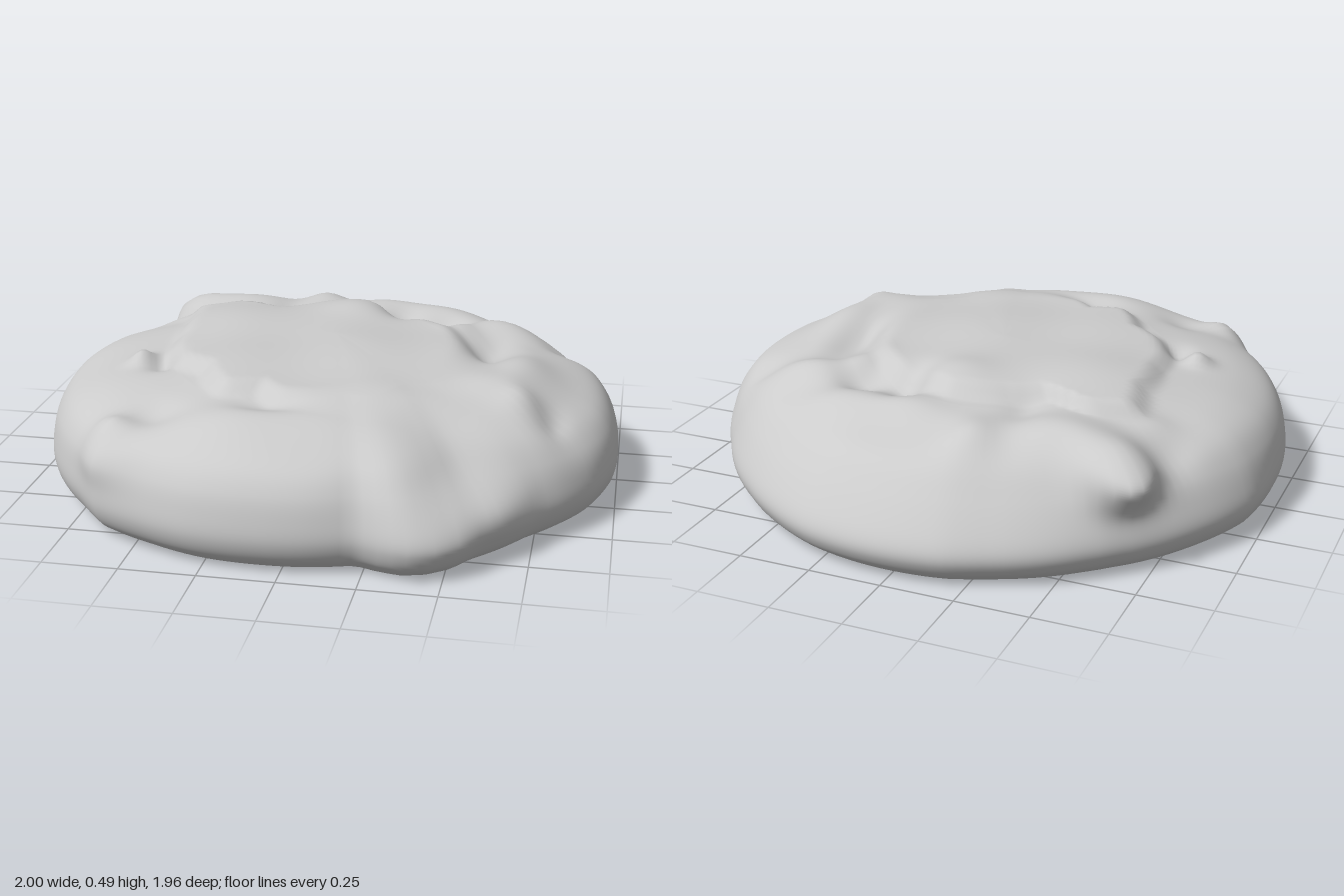
import * as THREE from 'three';
import { mergeVertices } from 'three/addons/utils/BufferGeometryUtils.js';

const { smoothstep, lerp } = THREE.MathUtils;
const bell = (d, width) => Math.exp(-((d / width) ** 2));

// Turns a ring of [x, z] points into a radius-by-angle function
function radial(points) {
  const ring = points
    .map(([x, z]) => ({ a: Math.atan2(z, x), r: Math.hypot(x, z) }))
    .sort((p, q) => p.a - q.a);
  const n = ring.length;
  return (angle) => {
    let i = ring.findIndex((p) => p.a > angle);
    if (i < 0) i = n;
    const p = ring[(i + n - 1) % n], q = ring[i % n];
    const span = (q.a - p.a + 2 * Math.PI) % (2 * Math.PI);
    const t = ((angle - p.a + 2 * Math.PI) % (2 * Math.PI)) / span;
    return lerp(p.r, q.r, t);
  };
}

// Outer rim of the cookie
const rim = radial([
  [1, 0], [0.995, 0.2], [0.93, 0.4], [0.78, 0.6], [0.61, 0.81], [0.56, 0.89],
  [0.48, 0.95], [0.4, 0.97], [0.32, 0.955], [0.24, 0.925], [0.1, 0.965], [-0.08, 0.98],
  [-0.29, 0.96], [-0.48, 0.89], [-0.64, 0.81], [-0.73, 0.7], [-0.86, 0.53],
  [-0.97, 0.25], [-1, 0], [-0.98, -0.24], [-0.87, -0.46], [-0.79, -0.57],
  [-0.68, -0.68], [-0.6, -0.75], [-0.48, -0.84], [-0.32, -0.92], [-0.19, -0.97],
  [0.02, -0.99], [0.29, -0.95], [0.47, -0.86], [0.63, -0.74], [0.85, -0.48], [0.98, -0.24],
]);

// Edge of the raised crust in the middle
const crust = radial([
  [0.33, -0.27], [0.44, -0.1], [0.5, 0.12], [0.46, 0.38], [0.15, 0.56], [-0.08, 0.57],
  [-0.16, 0.49], [-0.28, 0.52], [-0.38, 0.35], [-0.54, 0.22], [-0.56, 0.02],
  [-0.57, -0.18], [-0.6, -0.34], [-0.45, -0.4], [-0.3, -0.34], [-0.18, -0.4], [0, -0.46], [0.13, -0.4],
]);

// Lumps and hollows on top: x, z, width in x, width in z, height
const lumps = [
  [0.02, -0.34, 0.12, 0.11, 0.02], [0.18, -0.4, 0.07, 0.1, -0.045],
  [-0.42, -0.57, 0.16, 0.13, 0.05], [-0.17, -0.67, 0.08, 0.1, 0.035],
  [-0.26, -0.45, 0.06, 0.1, -0.02], [-0.66, -0.6, 0.12, 0.12, 0.035],
  [-0.66, -0.34, 0.1, 0.06, 0.02], [-0.76, -0.44, 0.08, 0.1, -0.035],
  [0.1, -0.57, 0.14, 0.08, 0.03], [0.34, -0.58, 0.16, 0.08, 0.02],
  [0.34, -0.41, 0.1, 0.07, -0.05], [0.58, -0.38, 0.15, 0.09, 0.045],
  [0.4, -0.27, 0.06, 0.08, 0.02], [0.54, -0.08, 0.08, 0.16, -0.05],
  [0.8, -0.33, 0.08, 0.06, -0.025], [0.67, 0.12, 0.12, 0.17, 0.045],
  [0.6, 0.32, 0.13, 0.12, 0.035], [0.69, 0.37, 0.06, 0.06, 0.025],
  [0.79, 0.38, 0.05, 0.07, -0.03], [0.42, 0.5, 0.16, 0.09, 0.015],
  [-0.65, 0.2, 0.045, 0.045, 0.04], [-0.56, 0.24, 0.05, 0.06, -0.03],
  [-0.62, 0.7, 0.08, 0.06, 0.04], [-0.48, 0.64, 0.09, 0.08, -0.025],
  [-0.25, 0.72, 0.2, 0.12, 0.02], [0.05, 0.68, 0.2, 0.12, 0.02],
  [-0.3, -0.15, 0.25, 0.2, 0.015], [-0.12, 0.6, 0.1, 0.06, -0.02],
];

function topRelief(x, z) {
  const angle = Math.atan2(z, x);
  const edge = crust(angle) - Math.hypot(x, z);
  // The crust melts into the body towards the front left corner
  const width = lerp(0.04, 0.16, bell(angle - 0.8, 0.7));
  let h = 0.04 * smoothstep(edge, -width, width);
  for (const [cx, cz, wx, wz, height] of lumps) h += height * bell(x - cx, wx) * bell(z - cz, wz);
  return h + 0.007 * Math.sin(9 * x + 4 * z) * Math.sin(8 * z - 5 * x + 1);
}

// Lobes and dents around the side: angle, width, level, height, outward push
const sideLumps = [
  [-2.38, 0.13, 0.34, 0.1, 0.19], [2.26, 0.12, 0.28, 0.08, 0.03],
  [0.87, 0.14, 0.2, 0.07, 0.04], [0.42, 0.12, 0.33, 0.08, -0.03],
];

function cookieGeometry() {
  // Half section from the middle of the base, around the rim, to the top
  const section = [
    [0.92, 0.008], [0.97, 0.05], [0.995, 0.11], [0.992, 0.18], [0.97, 0.26],
    [0.92, 0.325], [0.83, 0.37], [0.7, 0.405], [0.58, 0.422],
  ].map(([r, y]) => new THREE.Vector2(r, y));
  const profile = [[0, 0.006], [0.45, 0.006], [0.85, 0.002]].map(([r, y]) => new THREE.Vector2(r, y));
  profile.push(...new THREE.SplineCurve(section).getPoints(64));
  for (let i = 1; i <= 30; i++) profile.push(new THREE.Vector2(0.58 * (1 - i / 30), 0.422 + 0.018 * i / 30));

  const geometry = new THREE.LatheGeometry(profile, 160);
  const p = geometry.attributes.position;
  for (let i = 0; i < p.count; i++) {
    const y = p.getY(i);
    const r = Math.hypot(p.getX(i), p.getZ(i));
    const angle = Math.atan2(p.getZ(i), p.getX(i));
    // The back slopes more gently than the front
    const back = Math.max(0, -Math.sin(angle));
    const slope = 1 - 0.1 * back * smoothstep(y, 0.08, 0.34);
    // The broken corner at the front leans inwards above a low ledge
    const lean = 1 - 0.14 * bell(angle - 0.95, 0.27) * smoothstep(y, 0.1, 0.35);
    let radius = r * rim(angle) * slope * lean;
    for (const [a, width, level, height, push] of sideLumps) {
      radius += push * bell(angle - a, width) * bell(y - level, height) * smoothstep(r, 0.6, 0.92);
    }
    const x = Math.cos(angle) * radius, z = Math.sin(angle) * radius;
    p.setXYZ(i, x, y + smoothstep(y, 0.2, 0.4) * topRelief(x, z), z);
  }
  // Weld the seam so that the surface shades smoothly
  geometry.deleteAttribute('uv');
  geometry.deleteAttribute('normal');
  const welded = mergeVertices(geometry, 1e-4);
  welded.computeVertexNormals();
  return welded;
}

export function createModel() {
  const group = new THREE.Group();
  group.name = 'cookie';
  const body = new THREE.Mesh(cookieGeometry(), new THREE.MeshStandardMaterial({ color: 0xcccccc }));
  body.name = 'cookieBody';
  group.add(body);
  return group;
}
